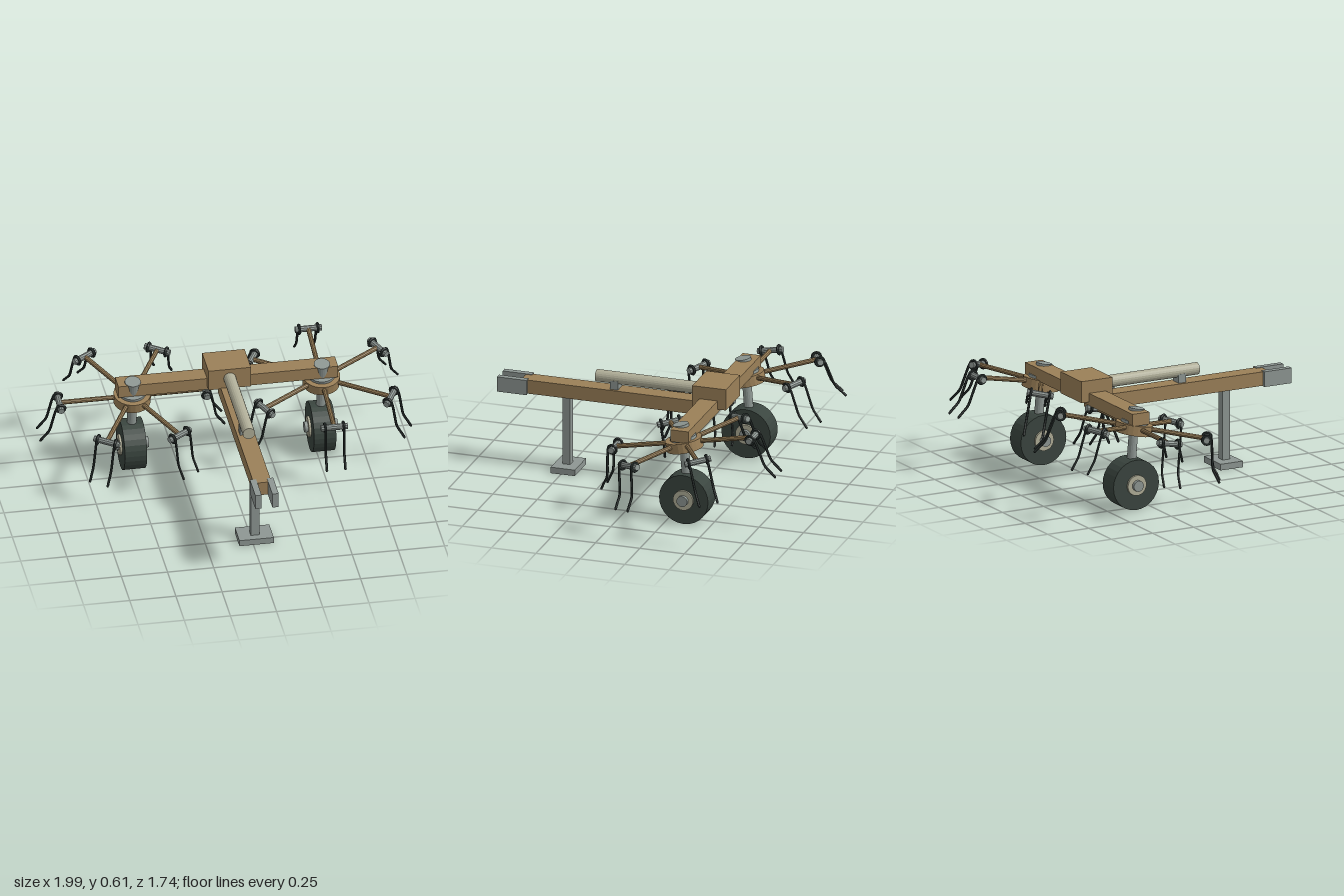
import * as THREE from 'three';

const mat = (color) => new THREE.MeshStandardMaterial({ color, flatShading: true });
const brown = mat(0x9b8058), steel = mat(0x8e9793), cream = mat(0xb0ae98);
const rubber = mat(0x3a453f), dark = mat(0x2a3230);
const CX = 0.017; // centre line of the machine

function add(parent, name, geometry, material, x = 0, y = 0, z = 0) {
  const mesh = new THREE.Mesh(geometry, material);
  mesh.name = name;
  mesh.position.set(x, y, z);
  parent.add(mesh);
  return mesh;
}

// Box given by its min and max corners
function box(parent, name, material, [x0, y0, z0], [x1, y1, z1]) {
  return add(parent, name, new THREE.BoxGeometry(x1 - x0, y1 - y0, z1 - z0), material,
    (x0 + x1) / 2, (y0 + y1) / 2, (z0 + z1) / 2);
}

const cyl = (r, h, n = 24) => new THREE.CylinderGeometry(r, r, h, n);
const cylX = (r, h, n) => cyl(r, h, n).rotateZ(Math.PI / 2);
const cylZ = (r, h, n) => cyl(r, h, n).rotateX(Math.PI / 2);

// One arm along +x with its tine holder, spring coils and tines
function rakeArm() {
  const arm = new THREE.Group();
  arm.name = 'rakeArm';
  add(arm, 'armTube', cylX(0.013, 0.33, 10), brown, 0.23, 0, 0);
  add(arm, 'tineHolder', cylZ(0.017, 0.144, 10), steel, 0.395, 0, 0);
  const tinePath = new THREE.CatmullRomCurve3([
    [0.018, 0.012], [0.027, -0.01], [0.042, -0.08], [0.058, -0.15], [0.082, -0.185], [0.103, -0.215],
  ].map(([x, y]) => new THREE.Vector3(x, y, 0)));
  for (const side of [-1, 1]) {
    const z = side * 0.05;
    add(arm, 'springCoil', new THREE.TorusGeometry(0.023, 0.008, 6, 14), dark, 0.395, 0, z);
    add(arm, 'tine', new THREE.TubeGeometry(tinePath, 14, 0.007, 6), dark, 0.395, 0, z);
    add(arm, 'tineTip', new THREE.SphereGeometry(0.007, 6, 4), dark, 0.498, -0.215, z);
  }
  return arm;
}

// Tilted rotor: hub, plate, shaft and six arms
function rotor(x, startAngle) {
  const g = new THREE.Group();
  g.name = 'rotor';
  g.position.set(x, 0.447, -0.337);
  g.rotation.x = 0.19;
  add(g, 'hub', cyl(0.1, 0.055), brown, 0, -0.008, 0);
  add(g, 'hubPlate', cyl(0.072, 0.015), steel, 0, 0.027, 0);
  add(g, 'shaft', cyl(0.043, 0.12), steel, 0, 0.042, 0);
  for (let i = 0; i < 6; i++) {
    const arm = rakeArm();
    arm.rotation.y = startAngle + i * Math.PI / 3;
    g.add(arm);
  }
  return g;
}

// Support wheel with its leg
function wheel(x) {
  const g = new THREE.Group();
  g.name = 'wheel';
  g.position.set(x, 0.139, -0.355);
  add(g, 'tyre', cylX(0.138, 0.12, 28), rubber);
  add(g, 'rim', cylX(0.056, 0.144), cream);
  add(g, 'axleCap', cylX(0.03, 0.18, 16), steel);
  const leg = add(g, 'wheelLeg', cyl(0.025, 0.19, 16), steel, 0, 0.2, 0.01);
  leg.rotation.x = 0.08;
  return g;
}

export function createModel() {
  const model = new THREE.Group();
  model.name = 'rotaryRake';

  // Frame
  box(model, 'crossBeam', brown, [CX - 0.595, 0.472, -0.39], [CX + 0.595, 0.54, -0.288]);
  box(model, 'gearbox', brown, [CX - 0.115, 0.492, -0.437], [CX + 0.115, 0.61, -0.247]);
  box(model, 'drawbar', brown, [CX - 0.048, 0.42, -0.33], [CX + 0.048, 0.497, 0.74]);

  // Hitch fork
  for (const side of [-1, 1]) {
    const x = CX + side * 0.046;
    box(model, 'hitchPlate', steel, [x - 0.017, 0.416, 0.705], [x + 0.017, 0.5, 0.87]);
  }

  // Drive shaft cover on its bracket
  add(model, 'driveShaft', cylZ(0.033, 0.59, 20), cream, CX, 0.555, 0.035);
  box(model, 'shaftBracket', steel, [CX - 0.033, 0.49, 0.2], [CX + 0.033, 0.545, 0.245]);

  // Parking stand
  box(model, 'standLeg', steel, [CX - 0.024, 0.03, 0.472], [CX + 0.024, 0.43, 0.516]);
  box(model, 'standFoot', steel, [CX - 0.093, 0, 0.422], [CX + 0.093, 0.034, 0.558]);

  // Rotors and wheels, the left one turned half a step
  for (const side of [-1, 1]) {
    const x = CX + side * 0.512;
    model.add(rotor(x, side > 0 ? Math.PI / 6 : 0), wheel(x));
  }
  return model;
}
